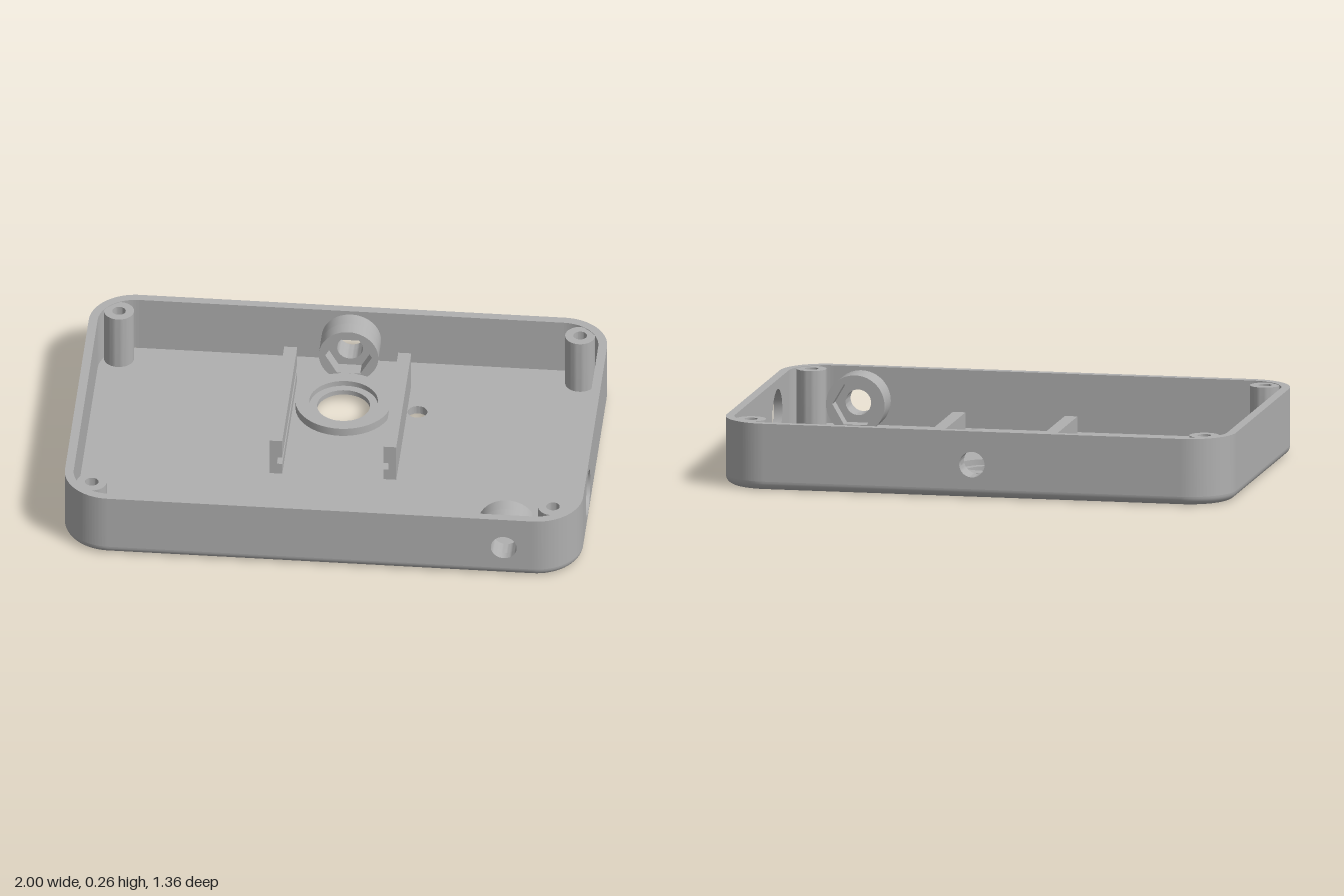
import * as THREE from 'three';
import { toCreasedNormals } from 'three/addons/utils/BufferGeometryUtils.js';

const W = 1, D = 0.678, H = 0.26;   // half width, half depth, height
const R = 0.18, T = 0.034;          // corner radius, wall thickness
const HOLE_Y = 0.13;                // height of the wall holes

export function createModel() {
  const grey = new THREE.MeshStandardMaterial({ color: 0xb0b0b0 });
  const model = new THREE.Group();
  model.name = 'enclosureBase';

  const add = (name, geo, x = 0, y = 0, z = 0, ry = 0) => {
    const mesh = new THREE.Mesh(geo, grey);
    mesh.name = name;
    mesh.position.set(x, y, z);
    mesh.rotation.y = ry;
    model.add(mesh);
    return mesh;
  };
  const extrude = (shape, depth) => toCreasedNormals(
    new THREE.ExtrudeGeometry(shape, { depth, bevelEnabled: false, curveSegments: 24 }), 0.6);
  const circle = (x, y, r) => new THREE.Path().absarc(x, y, r, 0, Math.PI * 2, true);
  const lathe = (pts) => toCreasedNormals(
    new THREE.LatheGeometry(pts.map(([r, y]) => new THREE.Vector2(r, y)), 48), 0.5);

  // Rounded rectangle outline, moved inwards by inset
  const outline = (inset, steps = 16) => {
    const pts = [];
    [[1, 1], [-1, 1], [-1, -1], [1, -1]].forEach(([sx, sz], q) => {
      for (let i = 0; i <= steps; i++) {
        const a = (q + i / steps) * Math.PI / 2;
        pts.push(new THREE.Vector2(
          sx * (W - R) + (R - inset) * Math.cos(a),
          sz * (D - R) + (R - inset) * Math.sin(a)));
      }
    });
    return pts;
  };

  // Floor plate with its through holes
  const posts = [];
  for (const sx of [-1, 1]) for (const sz of [-1, 1]) posts.push([sx * 0.89, sz * 0.568]);
  const floor = new THREE.Shape(outline(T));
  floor.holes.push(circle(0, 0.32, 0.14), circle(0.285, 0.32, 0.038));
  for (const [x, z] of posts) floor.holes.push(circle(x, -z, 0.045));
  add('floor', extrude(floor, T).rotateX(-Math.PI / 2));

  // Rounded lower edge, lofted between outlines
  const pos = [], index = [], rows = 8, n = outline(0).length;
  for (let r = 0; r <= rows; r++) {
    const a = r / rows * Math.PI / 2;
    for (const p of outline(T * (1 - Math.sin(a)))) pos.push(p.x, T * (1 - Math.cos(a)), p.y);
  }
  for (let r = 0; r < rows; r++) for (let i = 0; i < n; i++) {
    const a = r * n + i, b = r * n + (i + 1) % n;
    index.push(a, a + n, b, b, a + n, b + n);
  }
  const edge = new THREE.BufferGeometry();
  edge.setAttribute('position', new THREE.Float32BufferAttribute(pos, 3));
  edge.setIndex(index);
  edge.computeVertexNormals();
  add('roundedLowerEdge', edge);

  // Straight walls, some with a round opening
  const wall = (half, hole) => {
    const s = new THREE.Shape([[-half, T], [half, T], [half, H], [-half, H]]
      .map(([x, y]) => new THREE.Vector2(x, y)));
    if (hole) s.holes.push(circle(hole[0], HOLE_Y, hole[1]));
    return extrude(s, T);
  };
  add('frontWall', wall(W - R, [0.71, 0.05]), 0, 0, D - T);
  add('backWall', wall(W - R, [0, 0.05]), 0, 0, -D + T, Math.PI);
  add('leftWall', wall(D - R, [-0.29, 0.092]), W - T, 0, 0, Math.PI / 2);
  add('rightWall', wall(D - R), -W + T, 0, 0, -Math.PI / 2);

  // Curved wall corners
  [[1, -1], [-1, -1], [-1, 1], [1, 1]].forEach(([sx, sz], q) => {
    const a = q * Math.PI / 2, b = a + Math.PI / 2;
    const s = new THREE.Shape();
    s.absarc(0, 0, R, a, b, false);
    s.absarc(0, 0, R - T, b, a, true);
    add('wallCorner', extrude(s, H - T).rotateX(-Math.PI / 2), sx * (W - R), T, sz * (D - R));
  });

  // Screw posts, countersunk from below
  const post = lathe([[0.058, T], [0.058, H - 0.002], [0.026, H - 0.002], [0.026, 0.025], [0.045, 0]]);
  for (const [x, z] of posts) add('screwPost', post, x, 0, z);

  // Stepped collar around the large floor hole
  add('floorCollar', lathe([[0.185, T], [0.185, 0.067], [0.132, 0.067], [0.132, 0.045],
    [0.102, 0.045], [0.102, 0.025], [0.14, 0]]), 0, 0, -0.32);

  // Pair of rails with facing grooves
  for (const s of [-1, 1]) {
    const profile = new THREE.Shape([[0.195, T], [0.245, T], [0.245, 0.187], [0.195, 0.187],
      [0.195, 0.11], [0.215, 0.11], [0.215, 0.08], [0.195, 0.08]]
      .map(([x, y]) => new THREE.Vector2(s * x, y)));
    add('groovedRail', extrude(profile, 0.625), 0, 0, -0.49);
  }

  // Nut bosses: bored base and hexagonal pocket
  const disc = () => new THREE.Shape().absarc(0, 0, 0.115, 0, Math.PI * 2, false);
  const bored = disc(), pocket = disc();
  bored.holes.push(circle(0, 0, 0.05));
  const hex = [];
  for (let i = 0; i < 6; i++) {
    const a = i * Math.PI / 3;
    hex.push(new THREE.Vector2(0.09 * Math.cos(a), 0.09 * Math.sin(a)));
  }
  pocket.holes.push(new THREE.Path(hex));
  const base = extrude(bored, 0.06), rim = extrude(pocket, 0.058).translate(0, 0, 0.06);
  for (const [x, s] of [[0, -1], [0.71, 1]]) {
    const turn = s > 0 ? Math.PI : 0;
    add('nutBossBase', base, x, HOLE_Y, s * (D - T), turn);
    add('nutBossPocket', rim, x, HOLE_Y, s * (D - T), turn);
  }

  return model;
}
